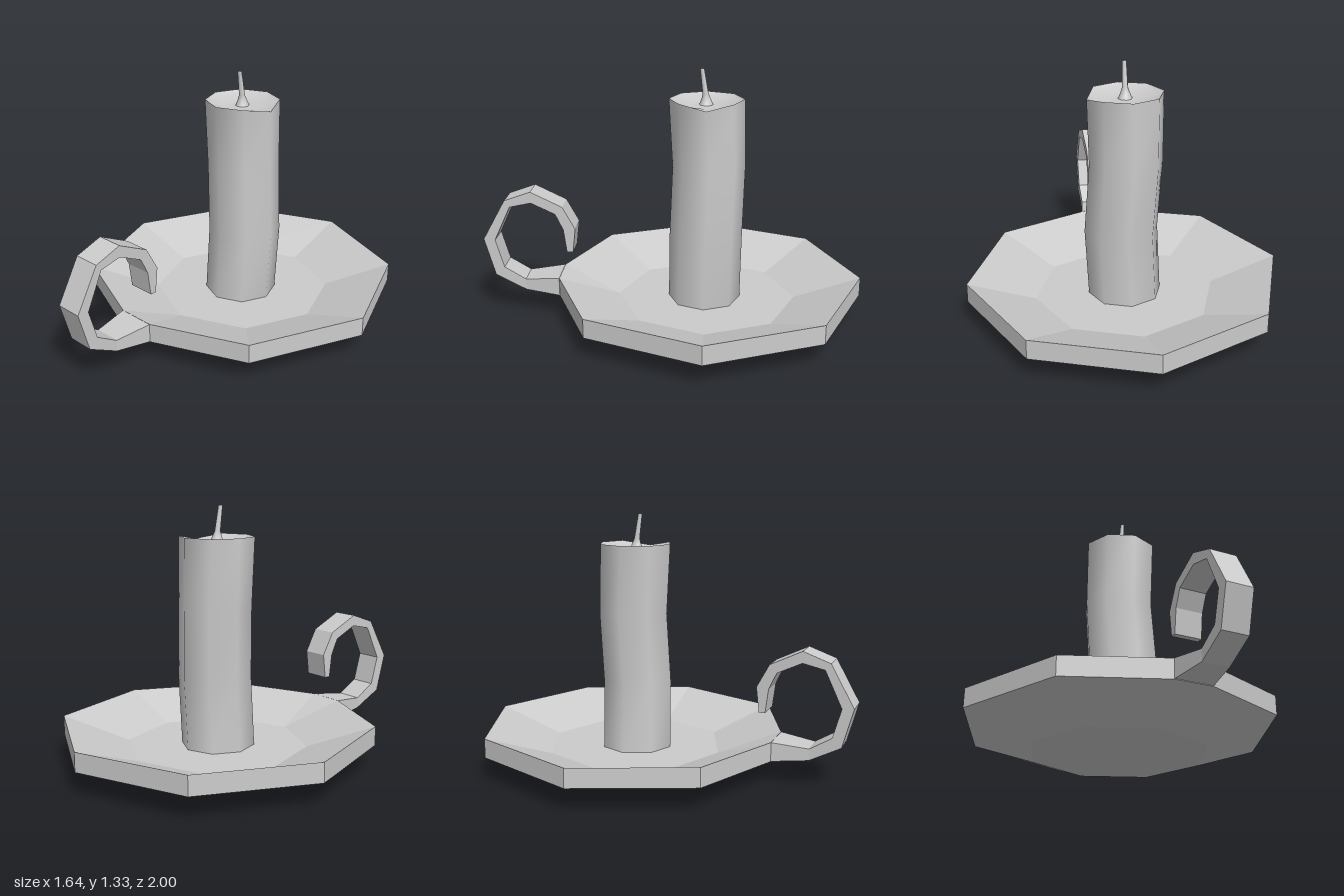
import * as THREE from 'three';

const CZ = -0.18; // z of the dish axis

// Skin over a list of rings; rings run counter-clockwise seen from the end of the path.
function loft(name, rings, { flat = false, capStart = false, capEnd = false } = {}) {
  const n = rings[0].length;
  const pos = rings.flat(2);
  const index = [];
  for (let r = 0; r < rings.length - 1; r++) {
    for (let i = 0; i < n; i++) {
      const j = (i + 1) % n;
      const a = r * n + i, b = r * n + j, c = b + n, d = a + n;
      index.push(a, b, c, a, c, d);
    }
  }
  const cap = (r, up) => {
    const centre = pos.length / 3;
    for (let k = 0; k < 3; k++) pos.push(rings[r].reduce((s, p) => s + p[k], 0) / n);
    for (let i = 0; i < n; i++) {
      const a = r * n + i, b = r * n + (i + 1) % n;
      index.push(centre, up ? a : b, up ? b : a);
    }
  };
  if (capStart) cap(0, false);
  if (capEnd) cap(rings.length - 1, true);

  let geo = new THREE.BufferGeometry();
  geo.setAttribute('position', new THREE.Float32BufferAttribute(pos, 3));
  geo.setIndex(index);
  if (flat) geo = geo.toNonIndexed();
  geo.computeVertexNormals();
  const mesh = new THREE.Mesh(geo, new THREE.MeshStandardMaterial({ color: 0xcccccc, flatShading: flat }));
  mesh.name = name;
  return mesh;
}

// Horizontal eight-sided ring; index 6 is the front corner.
function octagon(r, y, x = 0, z = CZ) {
  return Array.from({ length: 8 }, (_, i) => {
    const a = (i * Math.PI) / 4;
    return [x + r * Math.cos(a), y, z - r * Math.sin(a)];
  });
}

// Dish ring with the front corner split in two, where the handle joins.
function dishRing(r, y, split) {
  const ring = octagon(r, y);
  const z = ring[6][2] - split * 0.414;
  ring.splice(6, 1, [-split, y, z], [split, y, z]);
  return ring;
}

function createDish() {
  return loft('dish', [
    dishRing(0.47, 0, 0),
    dishRing(0.82, 0.12, 0.1),
    dishRing(0.82, 0.22, 0.1),
    dishRing(0.47, 0.1, 0),
  ], { flat: true, capStart: true, capEnd: true });
}

// Curled strap: half width, outer z/y, inner z/y
function createHandle() {
  const sections = [
    [0.1, 0.6, 0.122, 0.6, 0.22],
    [0.07, 0.785, 0.14, 0.785, 0.2],
    [0.07, 0.945, 0.223, 0.897, 0.267],
    [0.07, 1.0, 0.425, 0.94, 0.42],
    [0.07, 0.88, 0.64, 0.853, 0.605],
    [0.07, 0.74, 0.69, 0.74, 0.63],
    [0.07, 0.575, 0.61, 0.613, 0.57],
    [0.07, 0.51, 0.49, 0.573, 0.485],
    [0.07, 0.525, 0.36, 0.557, 0.36],
  ];
  const rings = sections.map(([w, oz, oy, iz, iy]) =>
    [[-w, oy, oz], [w, oy, oz], [w, iy, iz], [-w, iy, iz]]);
  return loft('handle', rings, { flat: true, capStart: true, capEnd: true });
}

function createCandle() {
  const candle = new THREE.Group();
  candle.name = 'candle';

  // Rim with one melted-down corner on the left
  const rim = octagon(0.193, 1.18, -0.002, -0.173);
  rim[0][1] = 1.155;
  const lip = octagon(0.172, 1.165, -0.002, -0.173);
  lip[0][1] = 1.148;

  // Slightly wavy wax column
  candle.add(loft('waxColumn', [
    octagon(0.19, 0.1, 0, -0.17),
    octagon(0.19, 0.46, 0.02, -0.175),
    octagon(0.188, 0.82, -0.003, -0.187),
    rim,
  ], { capStart: false }));

  // Shallow melted hollow
  candle.add(loft('waxHollow', [
    rim,
    lip,
    octagon(0.09, 1.145, 0, -0.172),
    octagon(0.035, 1.15, 0, -0.17),
  ], { capEnd: true }));

  // Leaning wick with a flared foot
  candle.add(loft('wick', [
    octagon(0.036, 1.15, 0, -0.17),
    octagon(0.024, 1.178, 0, -0.169),
    octagon(0.015, 1.205, 0, -0.166),
    octagon(0.011, 1.333, 0, -0.147),
  ], { capEnd: true }));
  return candle;
}

export function createModel() {
  const model = new THREE.Group();
  model.name = 'candleHolder';
  model.add(createDish(), createHandle(), createCandle());
  return model;
}
